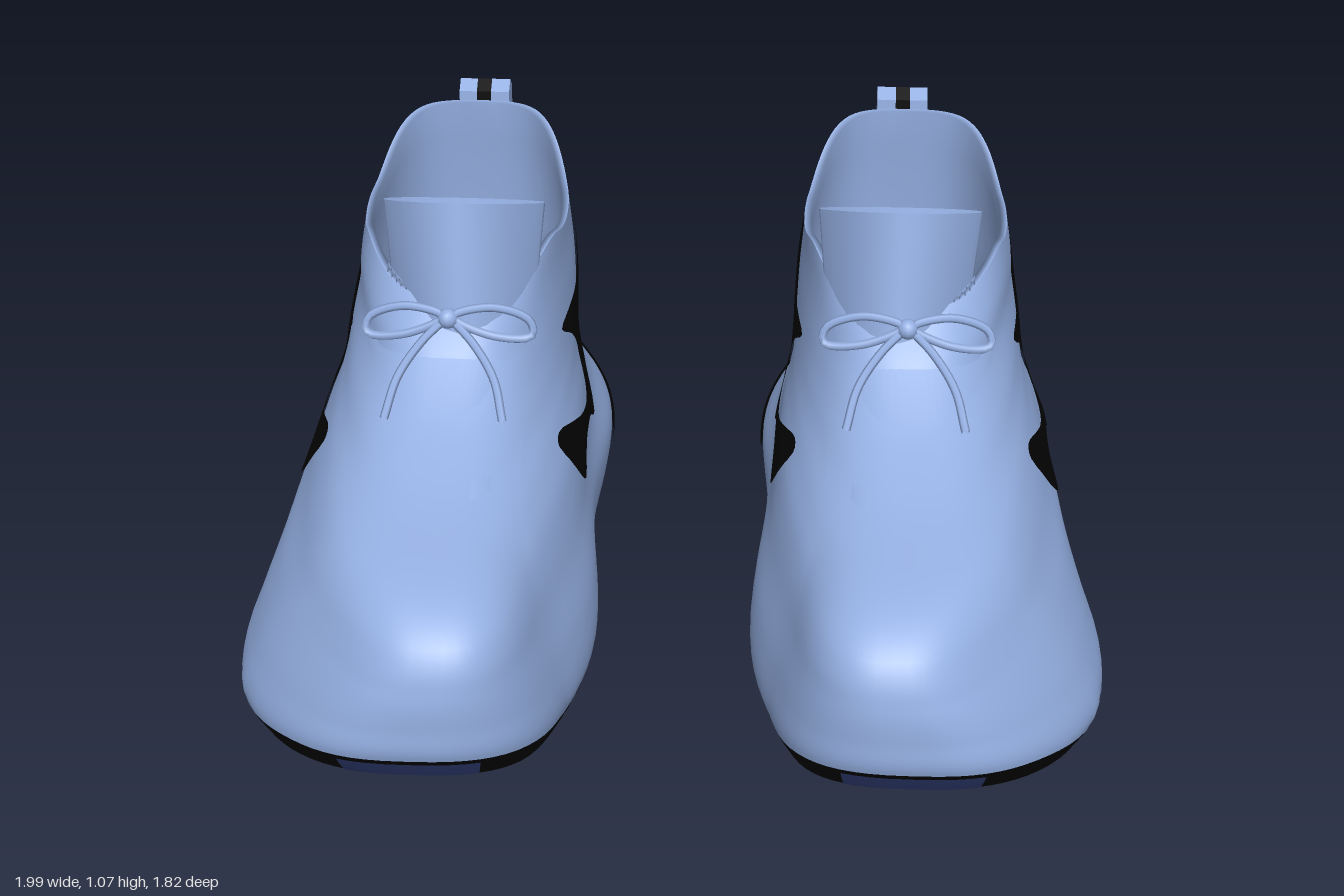
import * as THREE from 'three';

const { lerp, smoothstep, clamp } = THREE.MathUtils;
const paint = (name, color) => new THREE.MeshStandardMaterial({ name, color, side: THREE.DoubleSide });
const SEG = 96;

// Horizontal outlines: height, toe z, heel z, heel centre x, heel half width, forefoot centre x, forefoot half width
const LEVELS = [
  [0.00, 0.85, -0.88, 0.54, 0.385, 0.60, 0.42],
  [0.08, 0.90, -0.915, 0.54, 0.41, 0.605, 0.45],
  [0.20, 0.905, -0.89, 0.53, 0.42, 0.59, 0.41],
  [0.32, 0.90, -0.85, 0.55, 0.375, 0.57, 0.35],
  [0.40, 0.88, -0.83, 0.545, 0.333, 0.555, 0.31],
  [0.46, 0.83, -0.815, 0.54, 0.314, 0.55, 0.28],
  [0.51, 0.72, -0.805, 0.535, 0.302, 0.55, 0.25],
  [0.56, 0.48, -0.80, 0.532, 0.294, 0.545, 0.235],
  [0.62, 0.30, -0.795, 0.53, 0.288, 0.54, 0.23],
  [0.70, 0.16, -0.785, 0.528, 0.277, 0.53, 0.225],
  [0.78, 0.08, -0.775, 0.528, 0.264, 0.53, 0.23],
  [0.86, 0.00, -0.755, 0.528, 0.247, 0.52, 0.235],
];

// Smooth interpolation between the outlines
function levelAt(y) {
  const last = LEVELS.length - 1;
  let i = 0;
  while (i < last - 1 && y > LEVELS[i + 1][0]) i++;
  const a = LEVELS[i], b = LEVELS[i + 1], p = LEVELS[Math.max(0, i - 1)], q = LEVELS[Math.min(last, i + 2)];
  const h = b[0] - a[0], t = clamp((y - a[0]) / h, 0, 1), t2 = t * t, t3 = t2 * t;
  return a.map((v, k) => {
    const m0 = (b[k] - p[k]) / (b[0] - p[0]), m1 = (q[k] - v) / (q[0] - a[0]);
    return v + (b[k] - v) * (3 * t2 - 2 * t3) + h * (m0 * (t3 - 2 * t2 + t) + m1 * (t3 - t2));
  });
}

// x on the shoe at height y, where c and s are the cosine and sine around the outline
function outlineX(L, y, z, c, s, inset, narrow = 1) {
  const f = smoothstep(c, -1, 1);
  const waist = 0.075 * Math.exp(-(((z + 0.15) / 0.35) ** 2)) * (1 - smoothstep(y, 0.15, 0.45));
  const half = (lerp(L[4], L[6], f) - waist - inset) * narrow;
  const centre = lerp(L[3], L[5], f) - 0.055 * smoothstep(z, 0.5, 0.9);
  return centre + half * Math.sign(s) * Math.abs(s) ** lerp(0.68, 0.77, f);
}

// Point on the shoe surface, with toe spring and a collar that rises at the heel and dips in front
function shoePoint(y, angle, inset = 0, narrow = 1) {
  const L = levelAt(y), c = Math.cos(angle), s = Math.sin(angle);
  const z = (L[1] + L[2]) / 2 + c * ((L[1] - L[2]) / 2 - inset);
  const x = outlineX(L, y, z, c, s, inset, narrow);
  const spring = 0.12 * (Math.max(0, z - 0.4) / 0.5) ** 2 * Math.max(0, 1 - y / 0.35);
  const collar = 0.105 * smoothstep(-z, 0.5, 0.74) + 0.03 * Math.exp(-(((z + 0.2) / 0.08) ** 2))
    - 0.015 - 0.025 * smoothstep(z, -0.12, -0.02);
  return [x, y + spring + collar * clamp((y - 0.6) / 0.26, 0, 1), z];
}

// Top of the black sole band: higher behind, with two dips along the side
function soleTop(angle) {
  const z = 0.9 * Math.cos(angle);
  const dip = (at, depth, width) => depth * Math.exp(-(((z - at) / width) ** 2));
  return lerp(0.083, 0.062, smoothstep(z, -0.04, 0.06)) + 0.015 * smoothstep(z, 0.6, 0.8)
    - dip(0, 0.03, 0.04) - dip(0.53, 0.04, 0.05);
}

// Skin made from rows of points; closed rows join end to start
function skin(rows, closed = true) {
  const n = rows[0].length, index = [], m = closed ? n : n - 1;
  for (let j = 0; j < rows.length - 1; j++) {
    for (let i = 0; i < m; i++) {
      const k = (i + 1) % n, a = j * n + i, b = j * n + k;
      index.push(a, b, b + n, a, b + n, a + n);
    }
  }
  const g = new THREE.BufferGeometry();
  g.setAttribute('position', new THREE.Float32BufferAttribute(rows.flat(2), 3));
  g.setIndex(index);
  g.computeVertexNormals();
  return g;
}

const around = (fn, n = SEG) => Array.from({ length: n }, (_, i) => fn((i / n) * Math.PI * 2));
const ring = (y, inset, narrow) => around((a) => shoePoint(y, a, inset, narrow));

// Thin painted patch: a side outline of [z, y] points, subdivided and laid on the shoe's side
function patch(outline, side) {
  const flat = new THREE.ShapeGeometry(new THREE.Shape(outline.map(([z, y]) => new THREE.Vector2(-z, y))));
  const p = flat.attributes.position, id = flat.index.array;
  let tris = [];
  for (let i = 0; i < id.length; i += 3) tris.push([0, 1, 2].map((k) => [p.getX(id[i + k]), p.getY(id[i + k])]));
  const mid = (a, b) => [(a[0] + b[0]) / 2, (a[1] + b[1]) / 2];
  for (let pass = 0; pass < 3; pass++) {
    tris = tris.flatMap(([a, b, c]) => {
      const d = mid(a, b), e = mid(b, c), f = mid(c, a);
      return [[a, d, f], [d, b, e], [f, e, c], [d, e, f]];
    });
  }
  const position = tris.flatMap((t) => (side > 0 ? t : [t[0], t[2], t[1]])).flatMap(([u, y]) => {
    const z = -u, L = levelAt(y);
    const c = clamp((z - (L[1] + L[2]) / 2) / ((L[1] - L[2]) / 2), -1, 1);
    return [outlineX(L, y, z, c, side * Math.sqrt(1 - c * c), 0) + side * 0.006, y, z];
  });
  const g = new THREE.BufferGeometry();
  g.setAttribute('position', new THREE.Float32BufferAttribute(position, 3));
  g.computeVertexNormals();
  return g;
}

const smooth = (points) => new THREE.CatmullRomCurve3(points.map(([z, y]) => new THREE.Vector3(z, y, 0)), true, 'centripetal')
  .getPoints(points.length * 3).slice(0, -1).map((v) => [v.x, v.y]);

const FLASH = smooth([
  [0.126, 0.50], [0.087, 0.515], [-0.02, 0.48], [-0.126, 0.44], [-0.24, 0.42], [-0.285, 0.475], [-0.285, 0.535],
  [-0.24, 0.59], [-0.165, 0.645], [-0.26, 0.655], [-0.37, 0.66], [-0.455, 0.71], [-0.54, 0.767], [-0.525, 0.65],
  [-0.48, 0.555], [-0.41, 0.455], [-0.325, 0.32], [-0.24, 0.36], [-0.09, 0.38], [0.015, 0.345], [0.087, 0.41],
]);
const HEEL_SPOT = smooth([
  [-0.45, 0.15], [-0.505, 0.215], [-0.625, 0.26], [-0.74, 0.285], [-0.777, 0.25], [-0.75, 0.18], [-0.675, 0.145], [-0.55, 0.135],
]);

// Tongue: a curved plate wrapping back at its sides, closed along the top
function tongueRow(v, thickness) {
  return around((a) => {
    const u = Math.sin(a);
    return [0.505 + (0.165 + 0.023 * v) * u, lerp(0.75, 1.065 - 0.08 * u * u, v),
      lerp(0.055, -0.015, v) - 0.15 * u * u + thickness * Math.cos(a)];
  }, 32);
}

function lace(points, closed = false) {
  const curve = new THREE.CatmullRomCurve3(points.map((q) => new THREE.Vector3(...q)), closed);
  return new THREE.TubeGeometry(curve, 28, 0.01, 6, closed);
}

// Heel tab slice between two x positions
function tabSlice(x0, x1) {
  const profile = [[-0.78, 0.66], [-0.755, 0.89], [-0.762, 0.97], [-0.8, 0.987], [-0.84, 0.955], [-0.795, 0.66]];
  const shape = new THREE.Shape(profile.map(([z, y]) => new THREE.Vector2(-z, y)));
  const g = new THREE.ExtrudeGeometry(shape, { depth: x1 - x0, bevelEnabled: false });
  return g.rotateY(Math.PI / 2).translate(x0, 0, 0);
}

// Copy reflected in x, with the corner order swapped back to face outward
function mirrored(geometry) {
  const g = geometry.index ? geometry.toNonIndexed() : geometry.clone();
  g.scale(-1, 1, 1);
  for (const { itemSize: n, array: d } of Object.values(g.attributes)) {
    for (let i = 0; i < d.length; i += 3 * n) {
      for (let k = 0; k < n; k++) [d[i + n + k], d[i + 2 * n + k]] = [d[i + 2 * n + k], d[i + n + k]];
    }
  }
  return g;
}

export function createModel() {
  const blue = paint('softBlue', 0x95b0e3), black = paint('black', 0x030303), navy = paint('navy', 0x364480);
  const parts = [];
  const add = (name, geometry, material) => parts.push({ name, geometry, material });

  // Upper, lining and sole
  const between = (from, to, t) => around((a) => shoePoint(lerp(from(a), to(a), t), a));
  add('upper', skin(Array.from({ length: 53 }, (_, j) => between(soleTop, () => 0.86, j / 52))), blue);
  add('lining', skin([ring(0.86), ring(0.86, 0.015), ring(0.78, 0.015), ring(0.62, 0.02), ring(0.46, 0.03), ring(0.3, 0.03), ring(0.1, 0.03)]), blue);
  add('insole', skin([ring(0.11, 0.02), ring(0.11, 0.02, 0)]), black);
  add('soleBottom', skin([ring(0, 0, 0), ring(0, 0, 0.5), ring(0)]), black);
  add('soleEdge', skin([0, 0.33, 0.67, 1].map((t) => between(() => 0, soleTop, t))), black);

  // Toe plate on the sole edge
  const toeRow = (y) => Array.from({ length: 9 }, (_, i) => {
    const [x, h, z] = shoePoint(y, ((i - 4) / SEG) * Math.PI * 2);
    return [x, h, z + 0.007];
  });
  add('toePlate', skin([toeRow(0.008), toeRow(0.04), toeRow(0.07)], false), navy);

  // Painted side patches
  for (const side of [1, -1]) {
    add('sideFlash', patch(FLASH, side), black);
    add('heelSpot', patch(HEEL_SPOT, side), black);
  }

  // Tongue
  add('tongue', skin([0, 0.5, 1].map((v) => tongueRow(v, 0.014))), blue);
  add('tongueTop', skin([tongueRow(1, 0.014), tongueRow(1, 0)]), blue);

  // Bow
  add('bowKnot', new THREE.SphereGeometry(0.024, 12, 8).translate(0.525, 0.805, 0.07), blue);
  for (const s of [1, -1]) {
    const at = (dx, y, z) => [0.525 + s * dx, y, z];
    add('bowLoop', lace([at(0.01, 0.81, 0.07), at(0.1, 0.825, 0.05), at(0.185, 0.79, 0.045), at(0.19, 0.755, 0.055), at(0.1, 0.765, 0.075)], true), blue);
    add('bowTail', lace([at(0.01, 0.8, 0.07), at(0.06, 0.76, 0.105), at(0.11, 0.7, 0.16), at(0.135, 0.635, 0.235)]), blue);
  }

  // Heel pull tab with centre stripe
  add('heelTab', tabSlice(0.455, 0.5), blue);
  add('heelTabStripe', tabSlice(0.5, 0.535), black);
  add('heelTab', tabSlice(0.535, 0.578), blue);

  // The pair
  const model = new THREE.Group();
  model.name = 'shoes';
  for (const side of [1, -1]) {
    const shoe = new THREE.Group();
    shoe.name = side > 0 ? 'leftShoe' : 'rightShoe';
    for (const { name, geometry, material } of parts) {
      const mesh = new THREE.Mesh(side > 0 ? geometry : mirrored(geometry), material);
      mesh.name = name;
      shoe.add(mesh);
    }
    model.add(shoe);
  }
  return model;
}
